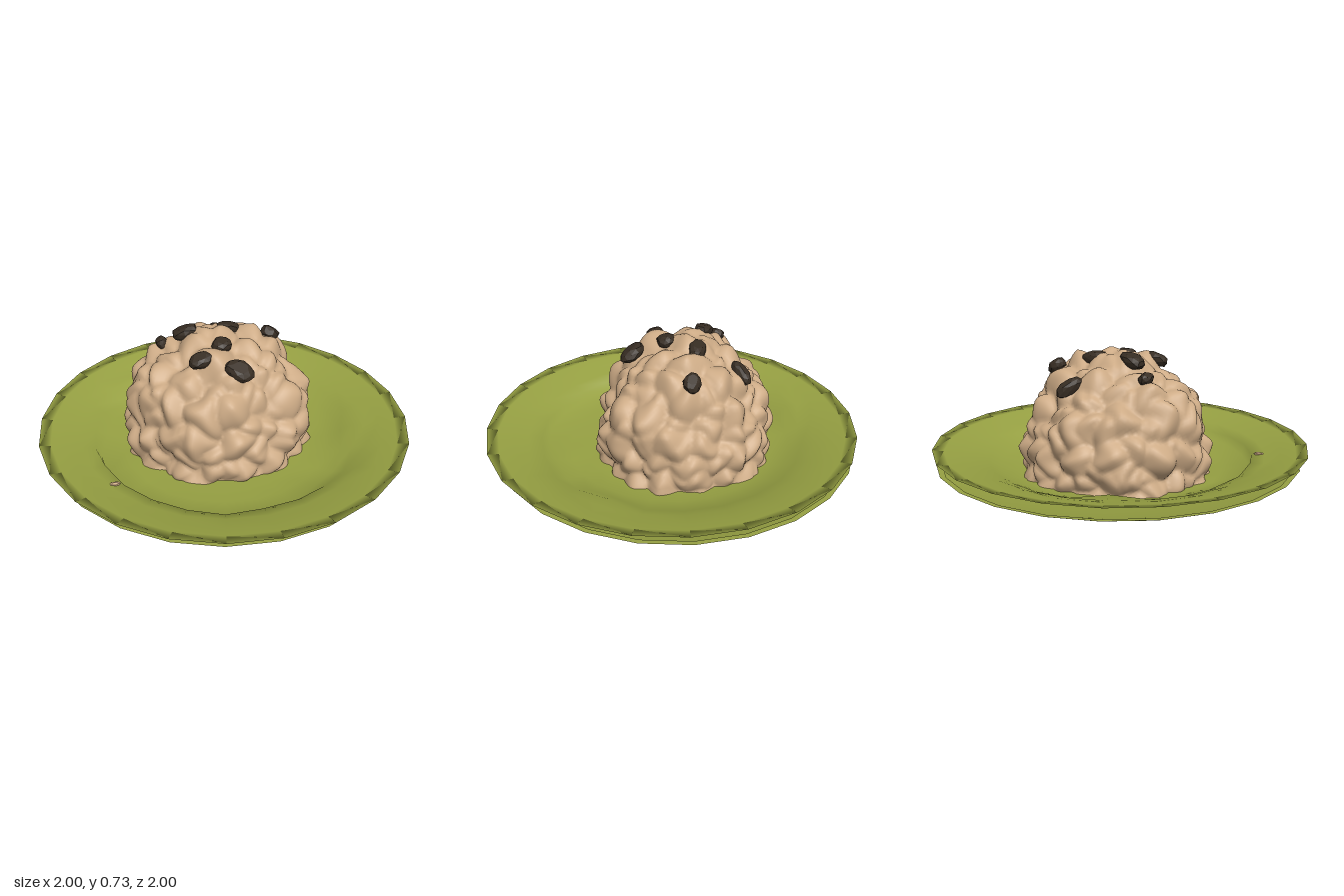
import * as THREE from 'three';
import { mergeVertices } from 'three/addons/utils/BufferGeometryUtils.js';

const material = (name, color, side = THREE.FrontSide) => {
  const m = new THREE.MeshStandardMaterial({ color, side });
  m.name = name;
  return m;
};

// Small seeded random generator
function seeded(seed) {
  return () => {
    seed = (seed * 16807) % 2147483647;
    return seed / 2147483647;
  };
}

// Weld a geometry, move its vertices by a rule and smooth it again
function reshape(geometry, rule) {
  geometry.deleteAttribute('uv');
  geometry.deleteAttribute('normal');
  const g = mergeVertices(geometry, 1e-4);
  const p = g.attributes.position;
  const v = new THREE.Vector3();
  for (let i = 0; i < p.count; i++) {
    rule(v.fromBufferAttribute(p, i));
    p.setXYZ(i, v.x, v.y, v.z);
  }
  g.computeVertexNormals();
  return g;
}

export function createModel() {
  const root = new THREE.Group();
  const green = material('plate green', 0x97a143, THREE.DoubleSide);
  const dough = material('cookie dough', 0xcdab86);
  const chocolate = material('dark chocolate', 0x372d23);
  const rand = seeded(4127);

  const add = (name, geometry, mat, parent = root) => {
    const mesh = new THREE.Mesh(geometry, mat);
    mesh.name = name;
    parent.add(mesh);
    return mesh;
  };
  const lathe = (points, sides) =>
    new THREE.LatheGeometry(points.map(([r, y]) => new THREE.Vector2(r, y)), sides);

  const plate = new THREE.Group();
  plate.name = 'plate';
  root.add(plate);

  // Upper dish: underside rolls over a soft rim into an uneven well
  const dish = lathe([
    [0.8, 0.157], [0.9, 0.18], [1, 0.209], [0.94, 0.199], [0.86, 0.18], [0.78, 0.158],
    [0.71, 0.13], [0.65, 0.1], [0.56, 0.075], [0.45, 0.067], [0.25, 0.065], [0, 0.065],
  ], 24);
  // Pinched folds in the well: x, z, height, reach
  const folds = [
    [0.5, 0.46, -0.03, 0.09], [0.66, 0.24, 0.035, 0.1], [-0.47, -0.54, -0.035, 0.09],
    [-0.36, -0.6, 0.035, 0.08], [-0.25, 0.66, -0.03, 0.09], [-0.6, 0.18, 0.03, 0.09],
  ];
  add('upperDish', reshape(dish, (v) => {
    const r = Math.hypot(v.x, v.z);
    if (r > 0.74) return;
    // the well steps down sharply toward the front right
    const steep = THREE.MathUtils.smoothstep(Math.cos(Math.atan2(v.z, v.x) - 2.25), 0.4, 0.75);
    if (r > 0.6 && r < 0.68) {
      v.y -= 0.022 * steep;
      v.x *= 1 + 0.07 * steep;
      v.z *= 1 + 0.07 * steep;
    } else if (r > 0.68) v.y += 0.012 * steep;
    for (const [x, z, height, reach] of folds) {
      const d = Math.hypot(v.x - x, v.z - z) / reach;
      v.y += height * Math.exp(-d * d);
    }
    // stay above the lower shell
    v.y = Math.max(v.y, 0.042 + 0.18 * (Math.hypot(v.x, v.z) - 0.45));
  }), green, plate);

  // Lower shell and thin recessed foot
  const shell = lathe([[0.45, 0.03], [0.7, 0.075], [0.85, 0.11], [0.96, 0.14], [0.97, 0.145], [0.94, 0.142]], 24);
  add('lowerShell', shell, green, plate).position.z = -0.02;
  const foot = lathe([[0, 0.032], [0.4, 0.03], [0.46, 0.011], [0.65, 0.003]], 16);
  add('footRecess', foot, green, plate);

  // Cookie mound: a dome covered in uneven lumps
  const lumps = [];
  const count = 280;
  for (let i = 0; i < count; i++) {
    const y = 1 - (2 * (i + 0.5)) / count;
    const r = Math.sqrt(1 - y * y);
    const a = i * 2.39996;
    const p = new THREE.Vector3(Math.cos(a) * r, y, Math.sin(a) * r);
    p.x += (rand() - 0.5) * 0.22;
    p.y += (rand() - 0.5) * 0.22;
    p.z += (rand() - 0.5) * 0.22;
    lumps.push({ p: p.normalize(), h: 0.02 + rand() * 0.12 });
  }
  const centre = new THREE.Vector3(-0.01, 0.12, -0.07);
  const warped = new THREE.Vector3();
  // Distance from the centre to the lumpy surface along a unit direction
  function surfaceRadius(d) {
    const e = 2.2;
    const dome = Math.pow(
      Math.pow(Math.hypot(d.x / 0.51, d.z / 0.465), e) + Math.pow(Math.abs(d.y) / 0.575, e), -1 / e);
    warped.set(
      d.x + 0.04 * Math.sin(17 * d.y + 5 * d.z),
      d.y + 0.04 * Math.sin(18 * d.z + 4 * d.x),
      d.z + 0.04 * Math.sin(16 * d.x + 6 * d.y));
    let bump = -0.07;
    for (const { p, h } of lumps) {
      const q = p.distanceTo(warped);
      bump = Math.max(bump, h - 0.4 * q - 1.4 * q * q);
    }
    return dome * (0.955 + bump);
  }
  const mound = reshape(new THREE.IcosahedronGeometry(1, 38), (v) => {
    v.normalize();
    v.multiplyScalar(surfaceRadius(v)).add(centre);
    v.y = Math.max(v.y, 0.055);
  });
  add('cookieMound', mound, dough);

  // Chocolate chips pressed into the surface: x, z, length, width, turn
  const up = new THREE.Vector3(0, 1, 0);
  const out = new THREE.Vector3();
  for (const [x, z, length, width, turn] of [
    [-0.17, -0.145, 0.07, 0.046, -0.2], [0.06, -0.145, 0.068, 0.044, 0.1],
    [-0.02, 0.03, 0.052, 0.048, 0.5], [-0.15, 0.115, 0.06, 0.044, 0.1],
    [0.025, 0.2, 0.074, 0.056, -0.6], [0.3, -0.155, 0.054, 0.043, 0],
    [0.055, -0.37, 0.072, 0.036, 0.9], [-0.285, -0.2, 0.04, 0.03, 1.2],
  ]) {
    const stone = reshape(new THREE.IcosahedronGeometry(1, 1), (v) => {
      v.multiplyScalar(0.96 + rand() * 0.18);
      v.y = THREE.MathUtils.clamp(v.y, -0.75, 0.75);
    }).toNonIndexed();
    stone.computeVertexNormals();
    const chip = add('chocolateChip', stone, chocolate);
    // drop the chip from above until it meets the mound
    chip.position.set(x, 0.8, z);
    let distance;
    do {
      chip.position.y -= 0.004;
      out.copy(chip.position).sub(centre);
      distance = out.length();
      out.normalize();
    } while (distance > surfaceRadius(out));
    chip.position.addScaledVector(out, 0.008);
    chip.quaternion.setFromUnitVectors(up, out).multiply(new THREE.Quaternion().setFromAxisAngle(up, turn));
    chip.scale.set(length, 0.042, width);
  }

  // Loose crumb on the plate
  const crumb = add('crumb', new THREE.DodecahedronGeometry(0.03), dough);
  crumb.position.set(-0.66, 0.155, 0.35);
  crumb.scale.set(1, 0.35, 0.5);

  return root;
}
